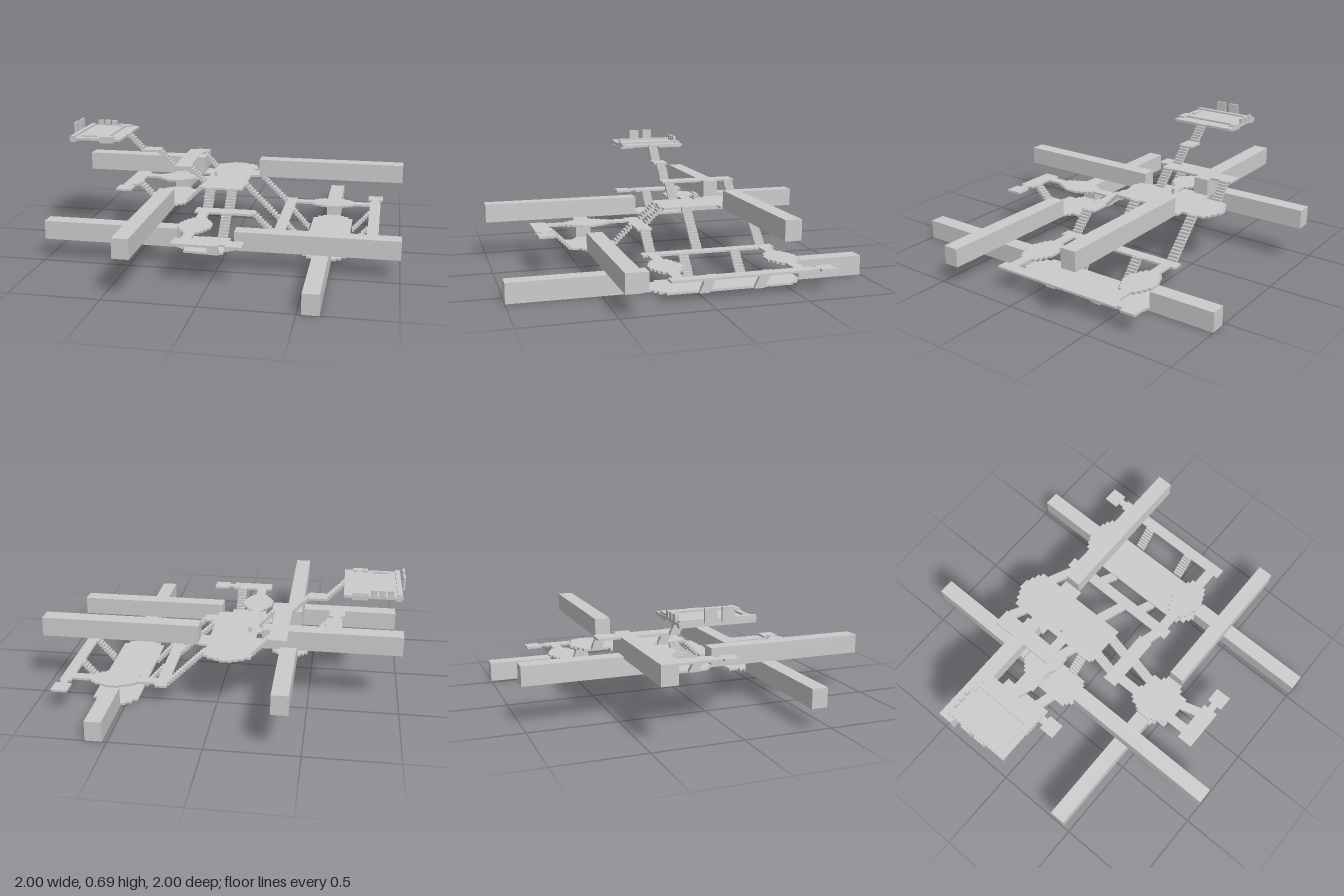
import * as THREE from 'three';

// floor heights of the storeys, lowest to highest
const L = [0, 0.115, 0.226, 0.323, 0.42, 0.515, 0.61];
const T = 0.0125; // floor thickness

export function createModel() {
  const model = new THREE.Group();
  const mat = new THREE.MeshStandardMaterial({ color: 0xcccccc, flatShading: true });

  const add = (name, geo) => {
    const m = new THREE.Mesh(geo, mat);
    m.name = name;
    model.add(m);
    return m;
  };

  // box from its limits on each axis
  const box = (name, x0, x1, y0, y1, z0, z1) => {
    const g = new THREE.BoxGeometry(x1 - x0, y1 - y0, z1 - z0);
    g.translate((x0 + x1) / 2, (y0 + y1) / 2, (z0 + z1) / 2);
    return add(name, g);
  };

  const floor = (name, level, x0, x1, z0, z1) => box(name, x0, x1, L[level], L[level] + T, z0, z1);

  // flat slab from an outline of [x, z] corners
  const slab = (name, level, pts) => {
    const s = new THREE.Shape(pts.map(([x, z]) => new THREE.Vector2(x, -z)));
    const g = new THREE.ExtrudeGeometry(s, { depth: T, bevelEnabled: false });
    g.rotateX(-Math.PI / 2);
    g.translate(0, L[level], 0);
    return add(name, g);
  };

  // stepped oval: half widths in x shrink as half depths in z grow
  const oval = (name, level, cx, cz, steps) => {
    const q = [];
    steps.forEach(([w, d], i) => {
      q.push([w, d]);
      if (i < steps.length - 1) q.push([steps[i + 1][0], d]);
    });
    const r = [...q].reverse();
    const pts = [
      ...q, ...r.map(([x, z]) => [-x, z]),
      ...q.map(([x, z]) => [-x, -z]), ...r.map(([x, z]) => [x, -z]),
    ];
    return slab(name, level, pts.map(([x, z]) => [cx + x, cz + z]));
  };

  // stair flight from a to b along one axis; c is the centre on the other axis
  const stairs = (name, axis, a, ya, b, yb, c, width = 0.058) => {
    const n = Math.max(3, Math.round(Math.abs(yb - ya) / 0.0145));
    const flight = new THREE.Group();
    flight.name = name;
    const run = Math.abs(b - a) / n;
    const geo = axis === 'x'
      ? new THREE.BoxGeometry(run, 0.024, width)
      : new THREE.BoxGeometry(width, 0.024, run);
    for (let i = 0; i < n; i++) {
      const t = (i + 0.5) / n;
      const p = a + (b - a) * t;
      const y = ya + (yb - ya) * t + T / 2;
      const m = new THREE.Mesh(geo, mat);
      m.name = 'step';
      m.position.set(axis === 'x' ? p : c, y, axis === 'x' ? c : p);
      flight.add(m);
    }
    model.add(flight);
  };

  // tunnels, two halves per line
  for (const [a, b] of [[-1, -0.62], [0.24, 1]]) box('lowestTunnel', 0.525, 0.615, 0, 0.112, a, b);
  for (const [a, b] of [[-1, -0.225], [0.095, 1]]) box('secondTunnel', a, b, 0.117, 0.224, 0.38, 0.47);
  for (const [a, b] of [[-1, -0.33], [0.065, 1]]) box('thirdTunnel', -0.43, -0.34, 0.226, 0.335, a, b);
  for (const [a, b] of [[-1, -0.24], [0.11, 1]]) box('topTunnel', a, b, 0.323, 0.432, -0.445, -0.355);

  // lowest platform with its ring gallery
  oval('lowestPlatform', 0, 0.57, -0.19, [[0.127, 0.36], [0.1, 0.395], [0.07, 0.415], [0.046, 0.43]]);
  for (const x of [0.3, 0.84]) floor('sideGallery', 1, x - 0.033, x + 0.033, -0.59, 0.2);
  for (const z of [-0.53, 0.142]) {
    floor('crossGallery', 1, 0.33, 0.81, z - 0.03, z + 0.03);
    oval('crossLanding', 1, 0.57, z, [[0.127, 0.052], [0.1, 0.068], [0.07, 0.08], [0.04, 0.093]]);
  }
  for (const z of [-0.345, -0.035]) {
    stairs('platformStairs', 'x', 0.333, L[1], 0.435, L[0], z);
    stairs('platformStairs', 'x', 0.807, L[1], 0.705, L[0], z);
  }
  floor('exitNeck', 1, 0.82, 0.86, -0.63, -0.59);
  floor('exitLanding', 1, 0.793, 0.885, -0.715, -0.625);

  // second platform with its gallery
  oval('secondPlatform', 1, -0.063, 0.425,
    [[0.16, 0.052], [0.135, 0.07], [0.11, 0.125], [0.06, 0.13]]);
  floor('nearGallery', 2, -0.192, 0.155, 0.095, 0.182);
  floor('farGallery', 2, -0.192, 0.06, 0.663, 0.757);
  floor('linkGallery', 2, -0.16, -0.102, 0.18, 0.665);
  oval('linkLanding', 2, -0.131, 0.425, [[0.092, 0.045], [0.08, 0.07], [0.065, 0.1], [0.048, 0.127]]);
  floor('exitNeck', 2, 0.06, 0.1, 0.69, 0.73);
  floor('exitLanding', 2, 0.097, 0.187, 0.663, 0.757);
  stairs('platformStairs', 'z', 0.182, L[2], 0.3, L[1], 0);
  stairs('platformStairs', 'z', 0.663, L[2], 0.55, L[1], 0);
  stairs('linkStairs', 'x', 0.155, L[2], 0.27, L[1], 0.14);

  // third platform with its gallery
  oval('thirdPlatform', 2, -0.385, -0.132,
    [[0.1, 0.155], [0.08, 0.17], [0.062, 0.19], [0.046, 0.2]]);
  floor('westGallery', 3, -0.67, -0.58, -0.31, 0);
  floor('bridge', 3, -0.58, -0.19, -0.258, -0.198);
  oval('bridgeLanding', 3, -0.385, -0.228, [[0.1, 0.05], [0.08, 0.065], [0.062, 0.08], [0.045, 0.092]]);
  floor('exitNeck', 3, -0.66, -0.615, 0, 0.035);
  floor('exitLanding', 3, -0.685, -0.593, 0.03, 0.122);
  stairs('platformStairs', 'x', -0.583, L[3], -0.482, L[2], -0.068);
  stairs('platformStairs', 'x', -0.19, L[3], -0.29, L[2], -0.068);

  // main hall on the top line, rounded at the back
  slab('mainHall', 3, [
    [-0.185, 0], [-0.185, -0.012], [-0.197, -0.012], [-0.197, -0.34], [-0.24, -0.34], [-0.24, -0.46],
    [-0.197, -0.46], [-0.197, -0.6], [-0.165, -0.6], [-0.165, -0.62], [-0.13, -0.62], [-0.13, -0.635],
    [-0.1, -0.635], [-0.1, -0.65], [-0.035, -0.65], [-0.035, -0.635], [0, -0.635], [0, -0.62],
    [0.035, -0.62], [0.035, -0.6], [0.06, -0.6], [0.06, -0.46], [0.11, -0.46], [0.11, -0.34],
    [0.06, -0.34], [0.06, 0],
  ]);
  box('post', -0.162, -0.146, L[3], 0.367, -0.272, -0.256);
  for (const z of [-0.53, -0.14]) {
    stairs('longStairs', 'x', 0.06, L[3], 0.27, L[1], z);
    stairs('upperStairs', 'x', -0.287, L[4], -0.195, L[3], z);
  }
  for (const x of [-0.131, 0]) stairs('hallStairs', 'z', 0, L[3], 0.098, L[2], x);

  // way up to the street
  floor('upperGallery', 4, -0.385, -0.287, -0.572, -0.1);
  stairs('streetStairs', 'x', -0.385, L[4], -0.48, L[5], -0.14);
  floor('halfLanding', 5, -0.58, -0.475, -0.187, -0.098);
  stairs('streetStairs', 'x', -0.58, L[5], -0.672, L[6], -0.14);

  // street square
  box('square', -0.985, -0.67, 0.607, 0.622, -0.35, 0.06);
  box('squareBase', -0.98, -0.95, 0.595, 0.61, -0.345, 0.06);
  for (const [a, b] of [[-0.345, -0.2], [-0.02, 0.063]]) {
    box('streetBase', -0.8, -0.715, 0.595, 0.61, a, b);
    box('streetEdge', -0.8, -0.715, 0.62, 0.633, a < -0.1 ? -0.345 : 0.02, a < -0.1 ? -0.315 : 0.06);
  }
  box('kerb', -0.765, -0.745, 0.62, 0.633, -0.345, 0.06);
  box('squareEdge', -0.98, -0.955, 0.62, 0.632, -0.345, 0.06);
  for (const x of [-0.92, -0.875, -0.83]) box('bench', x - 0.016, x + 0.016, 0.62, 0.655, -0.35, -0.33);
  box('frontStep', -0.92, -0.83, 0.62, 0.632, 0.01, 0.03);
  for (const z of [-0.19, -0.098]) box('signBoard', -1, -0.987, 0.615, 0.688, z - 0.032, z + 0.032);

  return model;
}
